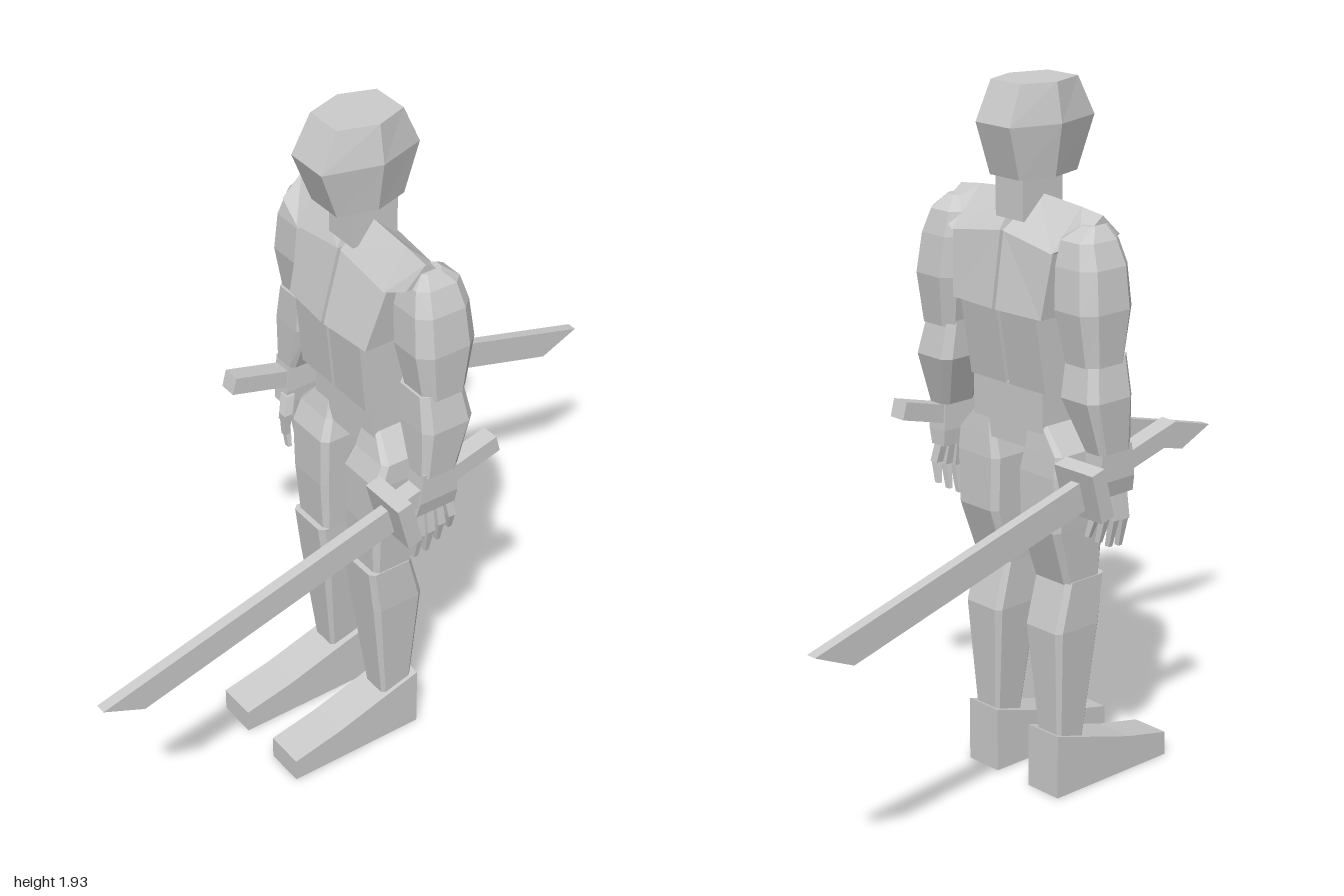
import * as THREE from 'three';

const material = new THREE.MeshStandardMaterial({ color: 0xcccccc, flatShading: true, side: THREE.DoubleSide });

// Faceted solid through rings of [x, y, z] points, closed at both ends
function loft(name, rings) {
  const pos = [];
  const tri = (a, b, c) => pos.push(...a, ...b, ...c);
  const n = rings[0].length;
  for (let r = 0; r < rings.length - 1; r++) {
    for (let i = 0; i < n; i++) {
      const j = (i + 1) % n, a = rings[r], b = rings[r + 1];
      tri(a[i], b[i], b[j]);
      tri(a[i], b[j], a[j]);
    }
  }
  const first = rings[0], last = rings[rings.length - 1];
  for (let i = 1; i < n - 1; i++) {
    tri(first[0], first[i], first[i + 1]);
    tri(last[0], last[i + 1], last[i]);
  }
  // Turn the faces outward when the rings run the other way
  let volume = 0;
  const a = new THREE.Vector3(), b = new THREE.Vector3(), c = new THREE.Vector3();
  const o = new THREE.Vector3(...first[0]);
  for (let i = 0; i < pos.length; i += 9) {
    a.fromArray(pos, i).sub(o);
    b.fromArray(pos, i + 3).sub(o);
    c.fromArray(pos, i + 6).sub(o);
    volume += a.dot(b.cross(c));
  }
  if (volume < 0) {
    for (let i = 0; i < pos.length; i += 9) {
      for (let k = 0; k < 3; k++) {
        [pos[i + 3 + k], pos[i + 6 + k]] = [pos[i + 6 + k], pos[i + 3 + k]];
      }
    }
  }
  const g = new THREE.BufferGeometry();
  g.setAttribute('position', new THREE.Float32BufferAttribute(pos, 3));
  g.computeVertexNormals();
  const mesh = new THREE.Mesh(g, material);
  mesh.name = name;
  return mesh;
}

// Stack of rectangles [y, x0, x1, z0, z1], corners cut by fraction c; s mirrors x
function stack(name, levels, s = 1, c = 0) {
  return loft(name, levels.map(([y, x0, x1, z0, z1]) => {
    const dx = (x1 - x0) * c, dz = (z1 - z0) * c;
    const pts = c
      ? [[x0 + dx, z0], [x1 - dx, z0], [x1, z0 + dz], [x1, z1 - dz],
        [x1 - dx, z1], [x0 + dx, z1], [x0, z1 - dz], [x0, z0 + dz]]
      : [[x0, z0], [x1, z0], [x1, z1], [x0, z1]];
    return pts.map(([x, z]) => [s * x, y, z]);
  }));
}

function box(name, w, h, d, x, y, z) {
  const mesh = new THREE.Mesh(new THREE.BoxGeometry(w, h, d), material);
  mesh.position.set(x, y, z);
  mesh.name = name;
  return mesh;
}

// Sword pointing along +z, guard at the origin
function makeSword() {
  const g = new THREE.Group();
  const outline = [[0, 0.036], [0.915, 0.036], [0.815, -0.045], [0, -0.045]];
  g.add(loft('blade', [-0.015, 0.015].map(x => outline.map(([z, y]) => [x, y, z]))));
  g.add(box('guard', 0.14, 0.14, 0.045, 0, 0, 0));
  g.add(box('handle', 0.052, 0.05, 0.33, 0, 0.015, -0.165));
  g.rotation.x = THREE.MathUtils.degToRad(15);
  g.position.set(0.304, 0.925, 0.105);
  return g;
}

function makeHand(s) {
  const g = new THREE.Group();
  g.add(stack('palm', [
    [0.895, 0.275, 0.325, -0.075, 0.05],
    [0.94, 0.272, 0.335, -0.075, 0.045],
    [1.03, 0.275, 0.335, -0.07, 0.035]], s));
  // Fingers of two segments, curling slightly inward
  const fingers = [[0.028, 0.03, 0.74], [-0.002, -0.005, 0.745], [-0.032, -0.042, 0.765], [-0.062, -0.08, 0.79]];
  for (const [z, zTip, yTip] of fingers) {
    const yMid = (0.9 + yTip) / 2, zMid = (z + zTip) / 2;
    g.add(stack('fingerBase', [
      [0.9, 0.288, 0.315, z - 0.011, z + 0.011],
      [yMid, 0.298, 0.324, zMid - 0.012, zMid + 0.012]], s));
    g.add(stack('fingerTip', [
      [yMid + 0.004, 0.3, 0.322, zMid - 0.01, zMid + 0.01],
      [yTip, 0.286, 0.302, zTip - 0.006, zTip + 0.006]], s));
  }
  g.add(stack('thumb', [
    [0.93, 0.265, 0.295, 0.025, 0.052],
    [0.88, 0.25, 0.276, 0.045, 0.07],
    [0.81, 0.258, 0.275, 0.05, 0.065]], s));
  return g;
}

export function createModel() {
  const model = new THREE.Group();
  model.name = 'swordFighter';

  // Six-sided head: [y, front width, side width, z front, z back]
  const head = [[1.69, 0.055, 0.085, 0.105, -0.1], [1.83, 0.064, 0.108, 0.157, -0.14], [1.935, 0.056, 0.09, 0.105, -0.095]];
  model.add(loft('head', head.map(([y, w, m, f, b]) =>
    [[-w, y, f], [w, y, f], [m, y, 0], [w, y, b], [-w, y, b], [-m, y, 0]])));
  model.add(box('neck', 0.104, 0.11, 0.138, 0, 1.635, -0.014));
  model.add(box('neckBase', 0.07, 0.07, 0.09, 0, 1.57, -0.02));
  model.add(stack('waist', [[0.98, -0.133, 0.133, -0.09, 0.045], [1.145, -0.133, 0.133, -0.09, 0.045]]));

  for (const s of [1, -1]) {
    const side = new THREE.Group();
    side.name = s > 0 ? 'leftSide' : 'rightSide';
    model.add(side);

    // Torso halves with a narrow gap along the middle
    side.add(loft('chest', [
      [[0.006, 1.35, 0.115], [0.168, 1.35, 0.1], [0.168, 1.35, -0.13], [0.006, 1.35, -0.14]],
      [[0.006, 1.553, 0.06], [0.19, 1.525, 0.05], [0.19, 1.525, -0.11], [0.006, 1.553, -0.11]],
    ].map(ring => ring.map(([x, y, z]) => [s * x, y, z]))));
    side.add(stack('abdomen', [
      [1.14, 0.006, 0.143, -0.09, 0.08],
      [1.35, 0.006, 0.143, -0.125, 0.1]], s));

    // Ridged shoulder yoke running out from the neck
    side.add(loft('shoulderYoke', [
      [[0.006, 1.555, 0.062], [0.035, 1.645, -0.01], [0.006, 1.555, -0.112]],
      [[0.19, 1.525, 0.06], [0.19, 1.632, -0.01], [0.19, 1.525, -0.115]],
      [[0.268, 1.565, 0.05], [0.268, 1.622, -0.01], [0.268, 1.565, -0.09]],
    ].map(ring => ring.map(([x, y, z]) => [s * x, y, z]))));

    side.add(stack('upperArm', [
      [1.25, 0.215, 0.335, -0.11, 0.025],
      [1.39, 0.19, 0.343, -0.133, 0.05],
      [1.5, 0.182, 0.33, -0.122, 0.045],
      [1.565, 0.19, 0.305, -0.105, 0.03],
      [1.6, 0.235, 0.278, -0.06, 0.005]], s, 0.2));
    side.add(stack('forearm', [
      [1.015, 0.268, 0.338, -0.075, 0.036],
      [1.16, 0.212, 0.348, -0.12, 0.038],
      [1.265, 0.212, 0.328, -0.1, 0.035]], s, 0.15));

    const hand = makeHand(s);
    hand.name = 'hand';
    side.add(hand);

    side.add(stack('thigh', [
      [0.612, 0.05, 0.185, -0.048, 0.075],
      [0.77, 0.045, 0.195, -0.1, 0.085],
      [0.92, 0.04, 0.202, -0.1, 0.085],
      [0.98, 0.055, 0.198, -0.095, 0.06],
      [1.05, 0.07, 0.135, -0.088, 0.04]], s, 0.1));
    side.add(stack('shin', [
      [0.15, 0.082, 0.166, -0.06, 0.035],
      [0.48, 0.05, 0.188, -0.083, 0.075],
      [0.618, 0.05, 0.188, -0.046, 0.092]], s, 0.1));

    // Wedge foot from its side profile
    const profile = [[-0.075, 0], [0.34, 0], [0.34, 0.068], [0.195, 0.1], [-0.075, 0.182]];
    side.add(loft('foot', [0.063, 0.178].map(x => profile.map(([z, y]) => [s * x, y, z]))));
  }

  // One blade points forward, the other backward
  const front = makeSword();
  front.name = 'forwardSword';
  const turned = new THREE.Group();
  turned.name = 'backwardSword';
  turned.add(makeSword());
  turned.rotation.y = Math.PI;
  model.add(front, turned);
  return model;
}
